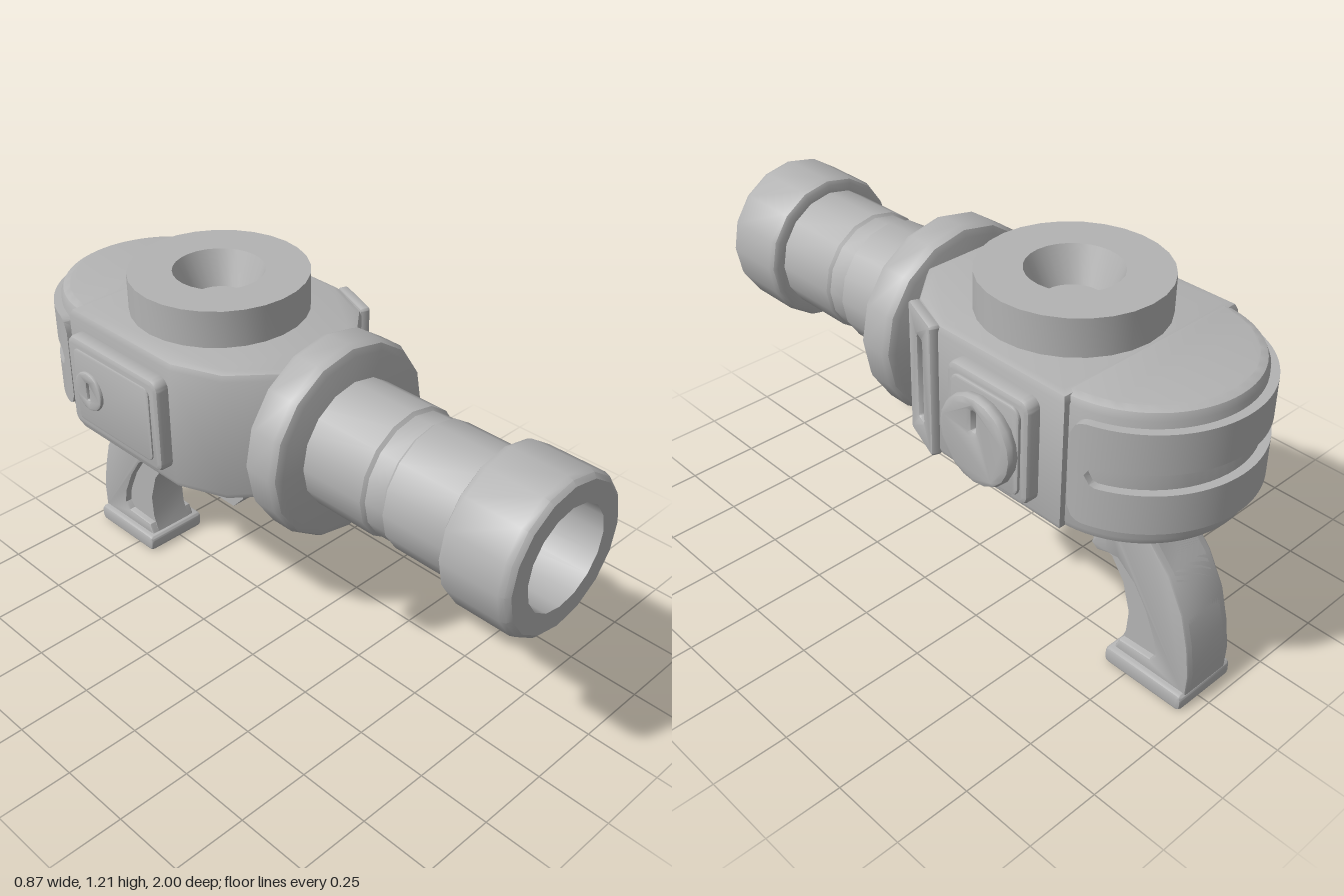
import * as THREE from 'three';
import { toCreasedNormals } from 'three/addons/utils/BufferGeometryUtils.js';

const CX = -0.02; // the body's own centre line
const AXIS = 0.845; // height of the barrel axis

export function createModel() {
  const model = new THREE.Group();
  const grey = new THREE.MeshStandardMaterial({ color: 0xb3b3b3 });
  grey.name = 'plain grey';

  const add = (name, geometry, x = 0, y = 0, z = 0) => {
    const mesh = new THREE.Mesh(toCreasedNormals(geometry, 0.62), grey);
    mesh.name = name;
    mesh.position.set(x, y, z);
    model.add(mesh);
    return mesh;
  };
  const shapeOf = (pts) => new THREE.Shape(pts.map(([x, y]) => new THREE.Vector2(x, y)));
  const roundRect = (w, h, r, Type = THREE.Shape, cy = 0) => {
    const s = new Type();
    s.absarc(w / 2 - r, cy + h / 2 - r, r, 0, Math.PI / 2);
    s.absarc(-w / 2 + r, cy + h / 2 - r, r, Math.PI / 2, Math.PI);
    s.absarc(-w / 2 + r, cy - h / 2 + r, r, Math.PI, Math.PI * 1.5);
    s.absarc(w / 2 - r, cy - h / 2 + r, r, Math.PI * 1.5, Math.PI * 2);
    s.closePath();
    return s;
  };
  // Bevelled slab from z = 0 to z = depth that keeps the outline's full size
  const slab = (shape, depth, bevel, curveSegments = 4) => new THREE.ExtrudeGeometry(shape, {
    depth: depth - 2 * bevel, bevelEnabled: bevel > 0, bevelThickness: bevel,
    bevelSize: bevel, bevelOffset: -bevel, bevelSegments: 2, curveSegments,
  }).translate(0, 0, bevel);
  const lathe = (pts, sides) =>
    new THREE.LatheGeometry(pts.map(([r, y]) => new THREE.Vector2(r, y)), sides);

  // Barrel with a shallow waist, rounded muzzle ring and open bore
  add('barrel', lathe([
    [0, 0.05], [0.208, 0.05], [0.208, 0.445], [0.198, 0.455], [0.198, 0.52], [0.206, 0.53],
    [0.206, 0.76], [0.232, 0.76], [0.245, 0.768], [0.252, 0.785], [0.252, 0.97],
    [0.246, 0.988], [0.232, 1], [0.165, 1], [0.165, 0.3], [0, 0.3],
  ], 16).rotateX(Math.PI / 2), CX, AXIS, 0);
  add('barrelFlange', lathe([
    [0, 0.08], [0.29, 0.08], [0.312, 0.09], [0.322, 0.11], [0.322, 0.19],
    [0.312, 0.21], [0.29, 0.22], [0, 0.22],
  ], 16).rotateX(Math.PI / 2), CX, AXIS, 0);

  // Body: plan outlines extruded upward (shape y is -z)
  const half = [[0.15, -0.09], [0.29, 0.03], [0.355, 0.19], [0.355, 0.675]];
  const mirrored = half.map(([x, y]) => [-x, y]).reverse();
  add('body', slab(shapeOf([...half, ...mirrored]), 0.445, 0.025)
    .rotateX(-Math.PI / 2), CX, 0.645, 0);
  const rear = new THREE.Shape();
  rear.moveTo(-0.345, 0.63);
  rear.lineTo(0.345, 0.63);
  rear.absarc(0, 0.635, 0.338, 0.12, Math.PI - 0.12);
  add('rearBody', slab(rear, 0.44, 0.03, 16).rotateX(-Math.PI / 2), CX, 0.647, 0);

  // Rear shell: two bent bands that meet at the ends and leave a slot between
  const MID = 0.875, A0 = 0.17, A1 = Math.PI - A0;
  // Quarter-round rise from 0 to 1, used for the rounded ends
  const rise = (t) => Math.sqrt(1 - (1 - THREE.MathUtils.clamp(t, 0, 1)) ** 2);
  const slotHalf = (a) => 0.033 * rise((Math.min(a, Math.PI - a) - 0.31) / 0.09);
  const edgeHalf = (a) => 0.115 + 0.045 * rise(Math.min(a - A0, A1 - a) / 0.14);
  for (const side of [1, -1]) {
    const band = new THREE.BoxGeometry(1, 1, 1, 64, 1, 1);
    const p = band.attributes.position;
    for (let i = 0; i < p.count; i++) {
      const a = A0 + (A1 - A0) * (0.5 + p.getX(i));
      const r = p.getZ(i) > 0 ? 0.363 : 0.315;
      const y = side * (p.getY(i) * side > 0 ? edgeHalf(a) : slotHalf(a));
      p.setXYZ(i, r * Math.cos(a), y, -0.637 - r * Math.sin(a));
    }
    add(side > 0 ? 'upperRearShell' : 'lowerRearShell', band, CX, MID, 0);
  }

  // Top socket with a tapered hole
  add('topSocket', lathe([
    [0, -0.03], [0.285, -0.03], [0.285, 0.12], [0.145, 0.12], [0.1, 0.01], [0, 0.01],
  ], 28), CX, 1.09, -0.365);

  // Slotted vent plate on the front left chamfer
  const vent = roundRect(0.17, 0.44, 0.01);
  vent.holes.push(roundRect(0.04, 0.28, 0.008, THREE.Path));
  const ventMesh = add('ventPlate', slab(vent, 0.035, 0.008), 0.297, 0.867, -0.112);
  ventMesh.rotation.y = 1.212;

  // Left side: square panel with a slotted knob
  const onLeft = Math.PI / 2;
  add('knobPanel', slab(roundRect(0.32, 0.34, 0.035), 0.07, 0.015).rotateY(onLeft),
    0.31, 0.87, -0.43);
  add('knobInset', slab(roundRect(0.27, 0.29, 0.035), 0.015, 0.006).rotateY(onLeft),
    0.375, 0.87, -0.43);
  const dial = (r, slotY, depth, bevel) => {
    const s = new THREE.Shape();
    s.absarc(0, 0, r, 0, Math.PI * 2);
    s.holes.push(roundRect(0.012, 0.06, 0.003, THREE.Path, slotY));
    return slab(s, depth, bevel, 10);
  };
  add('knob', dial(0.14, 0.065, 0.045, 0.018).rotateY(onLeft), 0.385, 0.865, -0.43);

  // Right side: long panel with a small dial
  add('rightPanel', slab(roundRect(0.44, 0.32, 0.035), 0.06, 0.015).rotateY(-onLeft),
    -0.36, 0.87, -0.42);
  add('rightPanelInset', slab(roundRect(0.37, 0.255, 0.025), 0.008, 0.003).rotateY(-onLeft),
    -0.417, 0.87, -0.42);
  add('rightDial', dial(0.066, 0, 0.022, 0.006).rotateY(-onLeft), -0.414, 0.87, -0.53);

  // Grip: side profiles in (-z, y), extruded across x
  const across = (shape, width, bevel) =>
    slab(shape, width, bevel).translate(0, 0, -width / 2).rotateY(Math.PI / 2);
  const back = [[0.962, 0.05], [0.965, 0.13], [0.95, 0.23], [0.92, 0.34], [0.86, 0.45],
    [0.785, 0.53], [0.768, 0.57], [0.8, 0.62]];
  const top = [[0.56, 0.62], [0.605, 0.58], [0.617, 0.53], [0.605, 0.48], [0.575, 0.43],
    [0.565, 0.4], [0.59, 0.383]];
  const core = [...back, ...top, [0.63, 0.37], [0.68, 0.3], [0.71, 0.2], [0.705, 0.12], [0.68, 0.05]];
  const frame = [...back, ...top, [0.63, 0.395], [0.67, 0.4], [0.74, 0.345], [0.79, 0.27],
    [0.83, 0.18], [0.84, 0.125], [0.82, 0.1], [0.7, 0.095], [0.68, 0.05]];
  add('gripCore', across(shapeOf(core), 0.14, 0), CX, 0, 0);
  add('gripFrame', across(shapeOf(frame), 0.19, 0.008), CX, 0, 0);
  add('gripMount', across(roundRect(0.425, 0.06, 0.014), 0.22, 0.01), CX, 0.632, -0.653);
  add('gripBase', across(roundRect(0.3, 0.06, 0.018), 0.238, 0.014), CX, 0.03, -0.815);

  // Guard strap from the body down and back to the grip
  add('gripGuard', across(shapeOf([
    [0.235, 0.66], [0.235, 0.425], [0.285, 0.37], [0.62, 0.37], [0.62, 0.41],
    [0.305, 0.41], [0.28, 0.44], [0.28, 0.66],
  ]), 0.09, 0), CX, 0, 0);

  return model;
}
